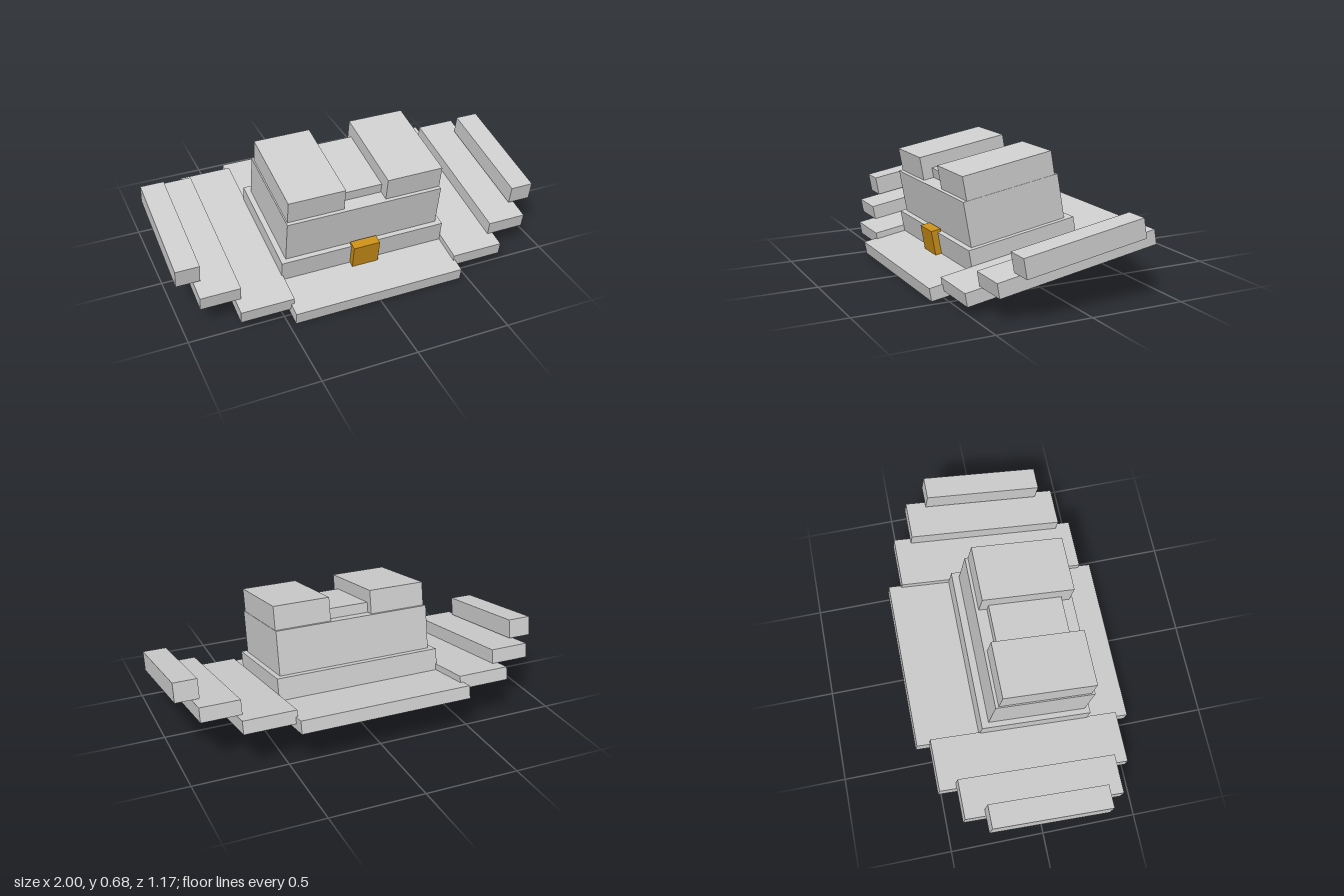
import * as THREE from 'three';

const grey = new THREE.MeshStandardMaterial({ color: 0xd0d0d0 });
grey.name = 'light grey felt';
const gold = new THREE.MeshStandardMaterial({ color: 0xcc9018 });
gold.name = 'gold buckle';

// Box given by its extents along each axis
function block(name, [x0, x1], [y0, y1], [z0, z1], material = grey) {
  const mesh = new THREE.Mesh(new THREE.BoxGeometry(x1 - x0, y1 - y0, z1 - z0), material);
  mesh.position.set((x0 + x1) / 2, (y0 + y1) / 2, (z0 + z1) / 2);
  mesh.name = name;
  return mesh;
}

export function createModel() {
  const model = new THREE.Group();
  model.name = 'hat';

  // The whole hat dips towards the front
  const hat = new THREE.Group();
  hat.name = 'tiltedHat';
  hat.rotation.x = THREE.MathUtils.degToRad(10);
  model.add(hat);

  // Brim centre and crown
  hat.add(
    block('brimCentre', [-0.466, 0.461], [0.105, 0.174], [-0.612, 0.566]),
    block('crownBand', [-0.456, 0.45], [0.174, 0.292], [-0.274, 0.325]),
    block('crownBody', [-0.427, 0.422], [0.292, 0.529], [-0.235, 0.298]),
    block('crownDent', [-0.118, 0.113], [0.529, 0.583], [-0.174, 0.222]),
    block('buckle', [-0.075, 0.07], [0.175, 0.307], [0.306, 0.359], gold),
  );

  // Stepped, upturned brim and the two crown ridges
  for (const [side, s] of [['left', 1], ['right', -1]]) {
    const span = (a, b) => (s > 0 ? [a, b] : [-b, -a]);
    hat.add(
      block(side + 'BrimInner', span(0.45, 0.73), [0.138, 0.208], [-0.542, 0.494]),
      block(side + 'BrimMiddle', span(0.7, 0.91), [0.207, 0.284], [-0.451, 0.405]),
      block(side + 'BrimOuter', span(0.875, 1), [0.293, 0.396], [-0.344, 0.299]),
      block(side + 'CrownRidge', span(0.115, 0.42), [0.529, 0.655], [-0.218, 0.279]),
    );
  }
  return model;
}
